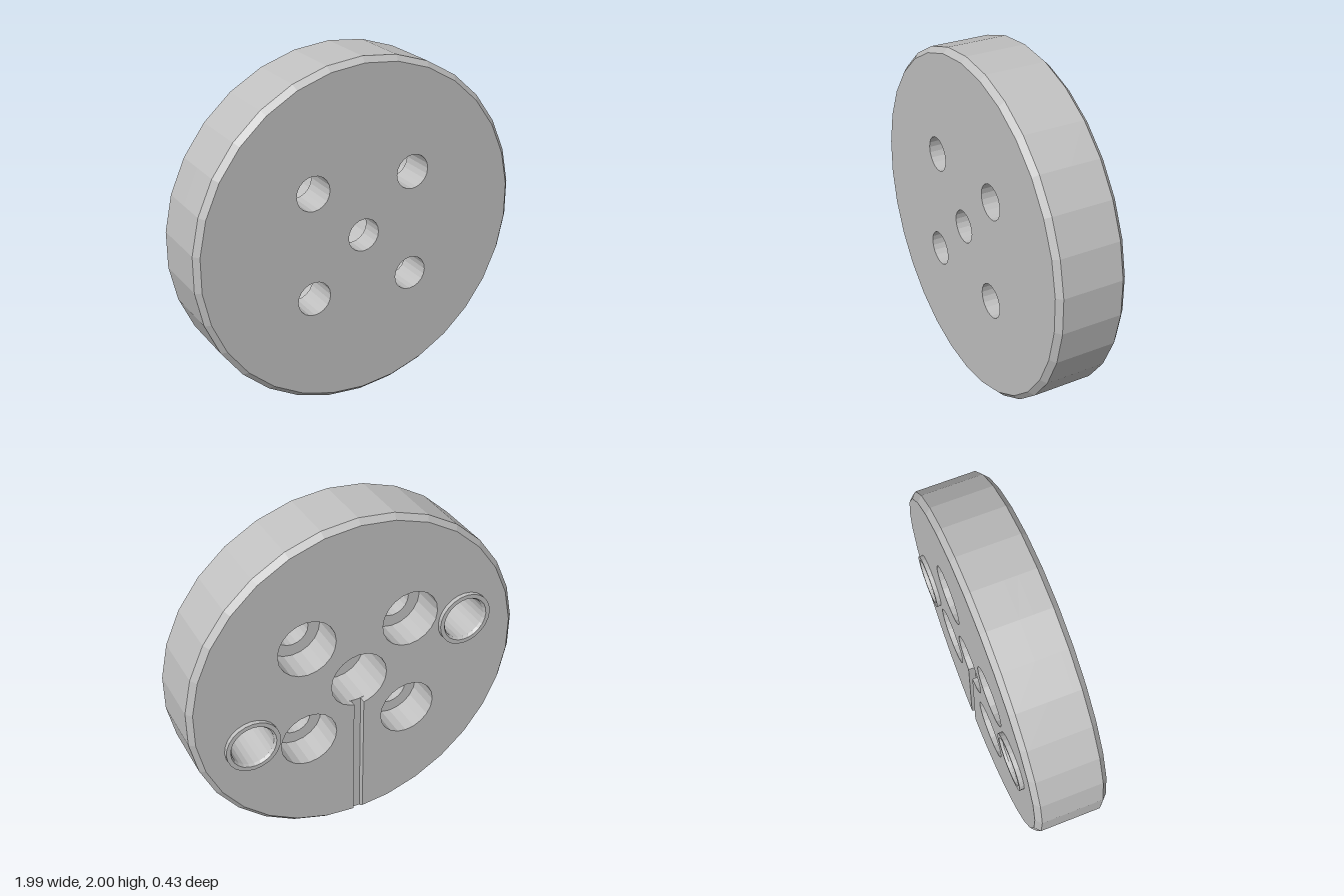
import * as THREE from 'three';
import { mergeGeometries } from 'three/addons/utils/BufferGeometryUtils.js';

const BACK = -0.19, FRONT = 0.215, CHAMFER = 0.03;
const SLOT_HALF = 0.03, SLOT_Z = -0.15;
const BORE_R = 0.17, BORE_Z = 0.01, HUB_Z = 0.085, PIN_Z = 0.14;
const BOLTS = [[-0.31, 0.31], [0.31, 0.31], [-0.31, -0.31], [0.31, -0.31]];
const PINS = [[-0.65, 0.213], [0.65, -0.213]];

const ring = (r, n, cx = 0, cy = 0) => Array.from({ length: n }, (_, i) => {
  const a = -Math.PI / 2 + (i / n) * Math.PI * 2;
  return new THREE.Vector2(cx + r * Math.cos(a), cy + r * Math.sin(a));
});
const OUTLINE = ring(1, 30);
const hole = (r, x, y) => ring(r, 20, x, y);

function shapeOf(outline, holes = []) {
  const s = new THREE.Shape(outline);
  holes.forEach(h => s.holes.push(new THREE.Path(h)));
  return s;
}

// Pull the outer edge inward at the front and back faces
function chamfer(g) {
  const p = g.attributes.position;
  for (let i = 0; i < p.count; i++) {
    const z = p.getZ(i);
    const onFace = Math.abs(z - BACK) < 1e-4 || Math.abs(z - FRONT) < 1e-4;
    if (onFace && Math.hypot(p.getX(i), p.getY(i)) > 0.9) {
      p.setXY(i, p.getX(i) * (1 - CHAMFER), p.getY(i) * (1 - CHAMFER));
    }
  }
  return g;
}

// Side walls only of one layer, including its holes
function walls(shape, z0, z1) {
  const e = new THREE.ExtrudeGeometry(shape, { depth: z1 - z0, bevelEnabled: false, steps: 1 });
  const { start, count } = e.groups[1];
  const g = new THREE.BufferGeometry();
  const pos = e.attributes.position.array.slice(start * 3, (start + count) * 3);
  g.setAttribute('position', new THREE.BufferAttribute(pos, 3));
  g.translate(0, 0, z0);
  chamfer(g).computeVertexNormals();
  return g;
}

// Flat face at z, facing the front or the back
function cap(shape, z, toBack) {
  const g = new THREE.ShapeGeometry(shape);
  if (toBack) g.index.array.reverse();
  g.translate(0, 0, z);
  const flat = chamfer(g).toNonIndexed();
  flat.deleteAttribute('uv');
  flat.computeVertexNormals();
  return flat;
}

export function createModel() {
  const model = new THREE.Group();
  const metal = new THREE.MeshStandardMaterial({ color: 0xc0c0c0, flatShading: true });
  metal.name = 'light grey metal';
  const add = (name, geo) => {
    const m = new THREE.Mesh(geo, metal);
    m.name = name;
    m.position.y = 1;
    model.add(m);
    return m;
  };

  const bolts = BOLTS.map(([x, y]) => hole(0.1, x, y));
  const counterbores = BOLTS.map(([x, y]) => hole(BORE_R, x, y));
  const pins = PINS.map(([x, y]) => hole(0.14, x, y));
  const hub = hole(0.095, 0, 0), hubBore = hole(BORE_R, 0, 0);

  // Back outline: disc, radial slot and centre bore in one loop
  const rimY = -1 + SLOT_HALF * Math.tan(Math.PI / 30);
  const boreY = -Math.sqrt(BORE_R ** 2 - SLOT_HALF ** 2);
  const slotted = shapeOf([
    new THREE.Vector2(SLOT_HALF, rimY), ...OUTLINE.slice(1), new THREE.Vector2(-SLOT_HALF, rimY),
    new THREE.Vector2(-SLOT_HALF, boreY), ...hubBore.slice(1).reverse(), new THREE.Vector2(SLOT_HALF, boreY),
  ], [...counterbores, ...pins]);
  const frontShape = shapeOf(OUTLINE, [hub, ...bolts]);

  // Stacked layers from back to front
  add('discBody', mergeGeometries([
    walls(slotted, BACK, BACK + CHAMFER),
    walls(slotted, BACK + CHAMFER, SLOT_Z),
    walls(shapeOf(OUTLINE, [hubBore, ...counterbores, ...pins]), SLOT_Z, BORE_Z),
    walls(shapeOf(OUTLINE, [hubBore, ...bolts, ...pins]), BORE_Z, HUB_Z),
    walls(shapeOf(OUTLINE, [hub, ...bolts, ...pins]), HUB_Z, PIN_Z),
    walls(frontShape, PIN_Z, FRONT - CHAMFER),
    walls(frontShape, FRONT - CHAMFER, FRONT),
  ].map(g => { g.deleteAttribute('uv'); return g; })));
  add('frontFace', cap(frontShape, FRONT, false));
  add('backFace', cap(slotted, BACK, true));

  // Slot floor and the steps inside the holes
  add('slotFloor', cap(shapeOf([[-1, rimY], [1, rimY], [1, boreY], [-1, boreY]]
    .map(([s, y]) => new THREE.Vector2(s * SLOT_HALF, y))), SLOT_Z, true));
  add('hubStep', cap(shapeOf(hubBore, [hub]), HUB_Z, true));
  counterbores.forEach((c, i) => add('boltHoleStep', cap(shapeOf(c, [bolts[i]]), BORE_Z, true)));
  pins.forEach(p => add('sleeveFloor', cap(shapeOf(p), PIN_Z, true)));

  // Hollow locating sleeves standing slightly proud of the back
  const profile = [[0.16, 0.18], [0.16, 0.215], [0.135, 0.215], [0.125, 0.2], [0.125, -PIN_Z]]
    .map(([r, h]) => new THREE.Vector2(r, h));
  PINS.forEach(([x, y]) => {
    const g = new THREE.LatheGeometry(profile, 24).rotateX(-Math.PI / 2);
    add('locatingSleeve', g).position.set(x, 1 + y, 0);
  });
  return model;
}
